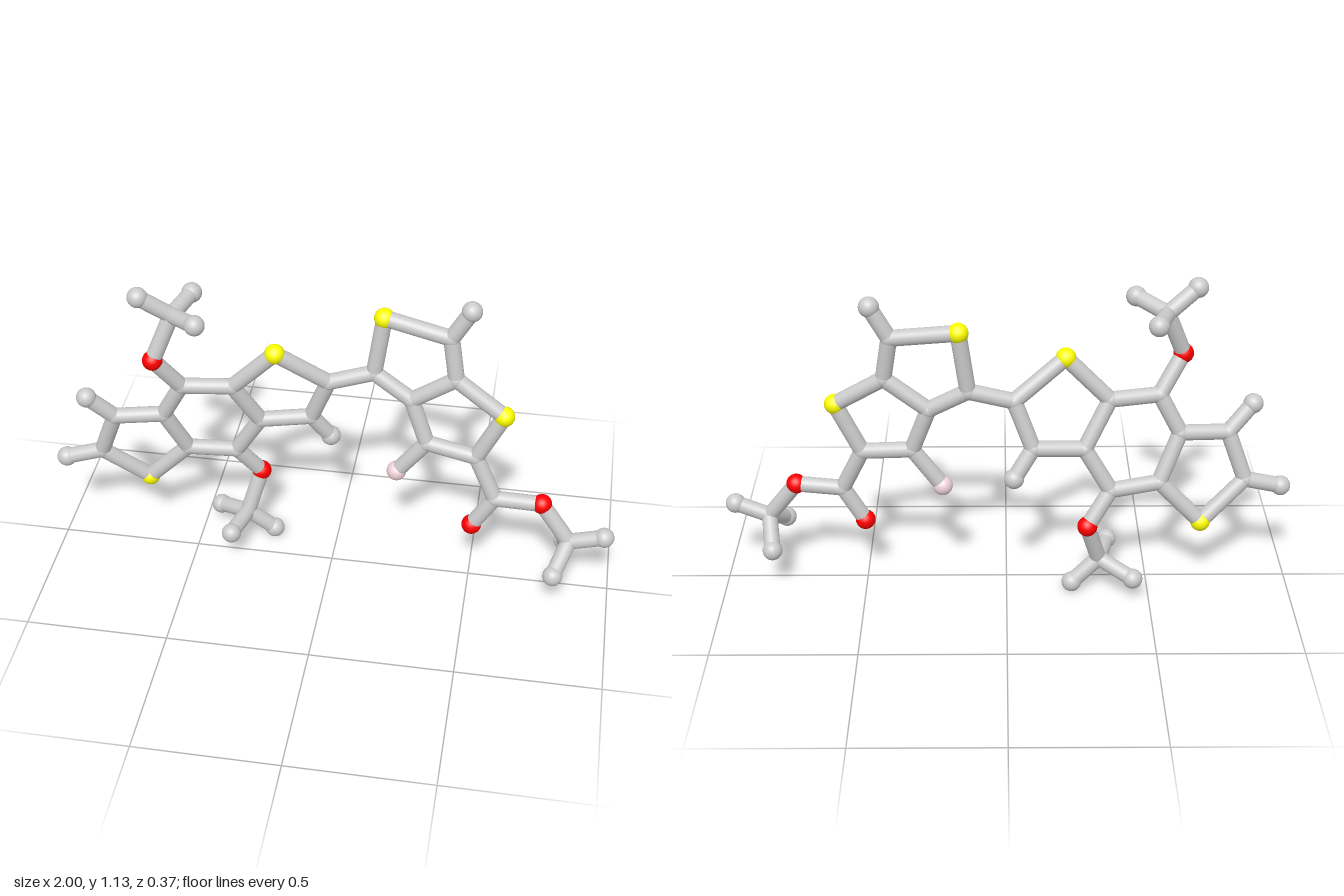
import * as THREE from 'three';

const material = (color) => new THREE.MeshStandardMaterial({ color });
const GREY = material(0xcccccc);

// Atom kinds: mesh name, ball radius, material
const KINDS = {
  C: ['carbonJoint', 0.03, GREY],
  H: ['hydrogenBall', 0.035, GREY],
  S: ['sulfurBall', 0.035, material(0xffff00)],
  O: ['oxygenBall', 0.035, material(0xff0000)],
  F: ['fluorineBall', 0.035, material(0xf0d4da)],
};
const BOND_RADIUS = 0.028;

// The two fused ring systems each lie on a slightly tilted plane
const leftPlane = (x, y) => -0.06 - 0.17 * (x + 0.68) + 0.19 * (y - 0.26);
const rightPlane = (x, y) => -0.11 + 0.14 * (x - 0.16) - 0.08 * (y - 1.0);

// Each part: plane, atoms as id: [kind, x, y, optional z], bonds as chains of ids
const PARTS = [
  {
    name: 'threeRingCore', plane: leftPlane,
    atoms: {
      s1: ['S', -0.68, 0.26], a: ['C', -0.835, 0.40], b: ['C', -0.77, 0.575],
      c: ['C', -0.60, 0.585], d: ['C', -0.53, 0.415], e: ['C', -0.525, 0.725],
      f: ['C', -0.353, 0.72], g: ['C', -0.267, 0.555], h: ['C', -0.36, 0.40],
      s2: ['S', -0.20, 0.875], i: ['C', -0.025, 0.74], j: ['C', -0.09, 0.57],
      ha: ['H', -0.965, 0.365], hb: ['H', -0.855, 0.668], hj: ['H', -0.025, 0.47],
    },
    chains: ['s1 a b c d s1', 'c e f g h d', 'f s2 i j g', 'a ha', 'b hb', 'j hj'],
  },
  {
    name: 'upperMethoxy', plane: leftPlane,
    atoms: {
      o1: ['O', -0.605, 0.857, 0.053], m1: ['C', -0.54, 1.02, 0.012],
      m1a: ['H', -0.642, 1.10, 0.045], m1b: ['H', -0.44, 1.047, 0.10], m1c: ['H', -0.50, 1.03, -0.12],
    },
    chains: ['e o1 m1', 'm1a m1 m1b', 'm1 m1c'],
  },
  {
    name: 'lowerMethoxy', plane: leftPlane,
    atoms: {
      o2: ['O', -0.28, 0.28, -0.13], m2: ['C', -0.325, 0.122, -0.08],
      m2a: ['H', -0.442, 0.08, -0.152], m2b: ['H', -0.23, 0.037, -0.10], m2c: ['H', -0.36, 0.123, 0.055],
    },
    chains: ['h o2 m2', 'm2a m2 m2b', 'm2 m2c'],
  },
  {
    name: 'twoRingCore', plane: rightPlane,
    atoms: {
      k: ['C', 0.13, 0.785], s3: ['S', 0.16, 1.003], l: ['C', 0.39, 0.97],
      n: ['C', 0.415, 0.815], p: ['C', 0.265, 0.705], s4: ['S', 0.587, 0.705],
      q: ['C', 0.50, 0.523], r: ['C', 0.325, 0.542],
      hl: ['H', 0.453, 1.082], f1: ['F', 0.222, 0.403],
    },
    chains: ['i k s3 l n p k', 'n s4 q r p', 'l hl', 'r f1'],
  },
  {
    name: 'esterTail', plane: rightPlane,
    atoms: {
      t: ['C', 0.575, 0.365], o3: ['O', 0.50, 0.237], o4: ['O', 0.74, 0.374, 0.013],
      m3: ['C', 0.845, 0.235, 0.035],
      m3a: ['H', 0.965, 0.278, 0.045], m3b: ['H', 0.80, 0.165, 0.145], m3c: ['H', 0.828, 0.15, -0.07],
    },
    chains: ['q t o3', 't o4 m3 m3a', 'm3b m3 m3c'],
  },
];

// Cylinder running between two points
function makeBond(a, b) {
  const direction = b.clone().sub(a);
  const geometry = new THREE.CylinderGeometry(BOND_RADIUS, BOND_RADIUS, direction.length(), 24, 1, true);
  const bond = new THREE.Mesh(geometry, GREY);
  bond.name = 'bond';
  bond.position.copy(a).lerp(b, 0.5);
  bond.quaternion.setFromUnitVectors(new THREE.Vector3(0, 1, 0), direction.normalize());
  return bond;
}

export function createModel() {
  const model = new THREE.Group();
  model.name = 'molecule';
  const points = {};

  for (const { name, plane, atoms, chains } of PARTS) {
    const part = new THREE.Group();
    part.name = name;

    // Balls and rounded joints
    for (const [id, [kind, x, y, z = plane(x, y)]] of Object.entries(atoms)) {
      const [label, radius, mat] = KINDS[kind];
      points[id] = new THREE.Vector3(x, y, z);
      const ball = new THREE.Mesh(new THREE.SphereGeometry(radius, 28, 18), mat);
      ball.name = label;
      ball.position.copy(points[id]);
      part.add(ball);
    }

    // Rods along each chain
    for (const chain of chains) {
      const ids = chain.split(' ');
      for (let i = 1; i < ids.length; i++) part.add(makeBond(points[ids[i - 1]], points[ids[i]]));
    }
    model.add(part);
  }
  return model;
}
